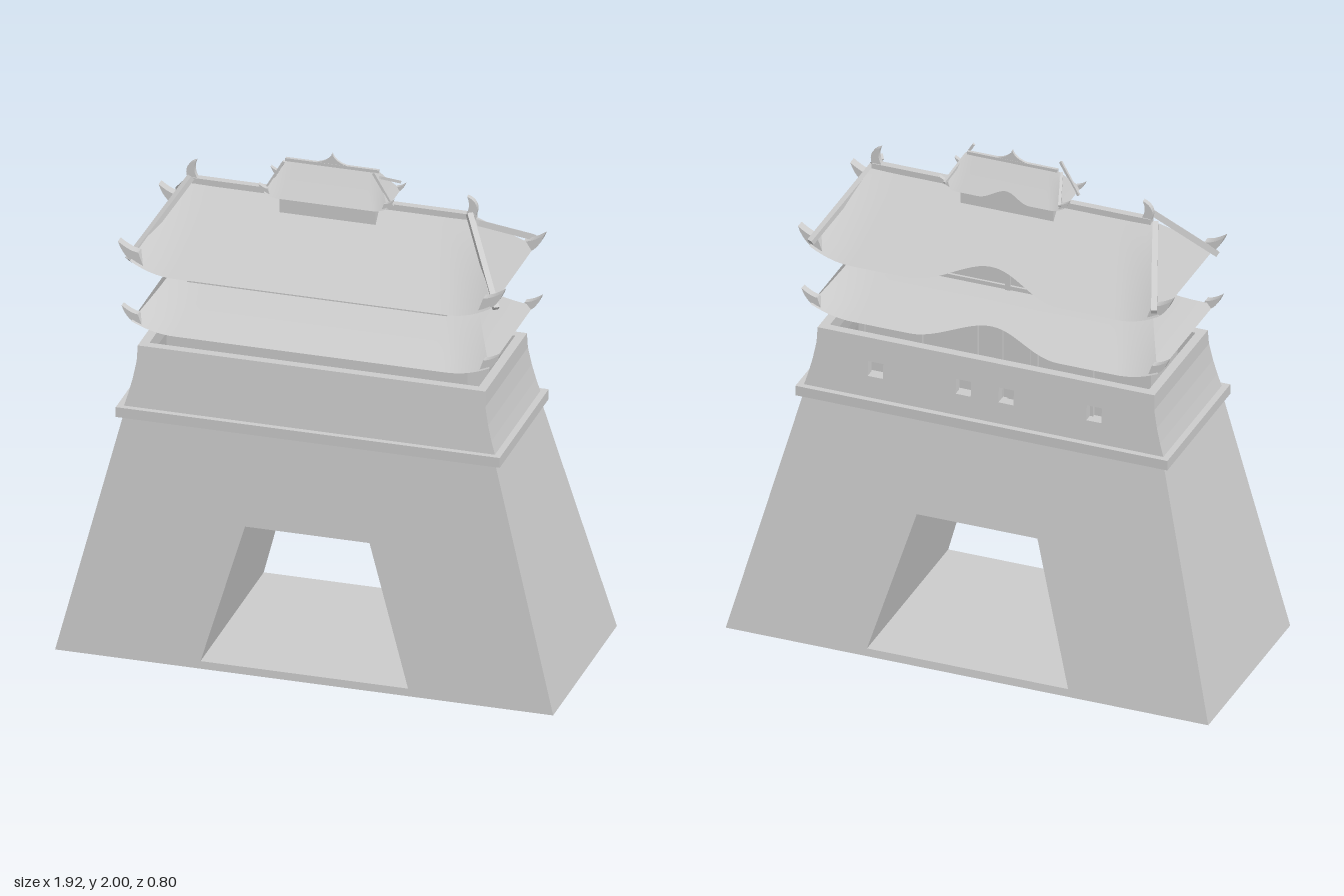
import * as THREE from 'three';

const RIDGE_Z = 0.045;
const mat = new THREE.MeshStandardMaterial({ color: 0xcccccc, flatShading: true });
const roofMat = new THREE.MeshStandardMaterial({ color: 0xcccccc, side: THREE.DoubleSide });
const lerp = THREE.MathUtils.lerp;

function add(parent, name, geometry, material = mat) {
  const mesh = new THREE.Mesh(geometry, material);
  mesh.name = name;
  parent.add(mesh);
  return mesh;
}

// Box given by its limits on each axis
function box(parent, name, x0, x1, y0, y1, z0, z1) {
  const mesh = add(parent, name, new THREE.BoxGeometry(x1 - x0, y1 - y0, z1 - z0));
  mesh.position.set((x0 + x1) / 2, (y0 + y1) / 2, (z0 + z1) / 2);
  return mesh;
}

// Square bar between two points
function bar(parent, name, a, b, size) {
  const mesh = add(parent, name, new THREE.BoxGeometry(size, size, a.distanceTo(b)));
  mesh.position.copy(a).lerp(b, 0.5);
  mesh.lookAt(b);
}

function polygon(points) {
  return new THREE.Shape(points.map(([x, y]) => new THREE.Vector2(x, y)));
}

// Extrude an outline in z between a back and a front that may lean with height
function slab(parent, name, shape, back, front) {
  const geo = new THREE.ExtrudeGeometry(shape, { depth: 1, bevelEnabled: false, curveSegments: 8 });
  const p = geo.attributes.position;
  for (let i = 0; i < p.count; i++) {
    const y = p.getY(i);
    p.setZ(i, lerp(back(y), front(y), p.getZ(i)));
  }
  geo.computeVertexNormals();
  return add(parent, name, geo);
}

// Hip roof with raised corners and an arch cut in the back eave
function roof(parent, name, o) {
  const group = new THREE.Group();
  group.name = name;
  group.position.z = RIDGE_Z;
  parent.add(group);
  const sideY = o.eave + o.lift;

  const slope = (label, columns, ridgeAt, eaveAt, cutAt) => {
    const geo = new THREE.PlaneGeometry(2, 1, columns, 6);
    const p = geo.attributes.position;
    for (let i = 0; i < p.count; i++) {
      const u = p.getX(i), v = p.getY(i) + 0.5;
      const t = lerp(cutAt(u), 1, v);
      const pt = eaveAt(u).lerp(ridgeAt(u), t);
      pt.y -= o.sag * Math.sin(Math.PI * t);
      p.setXYZ(i, pt.x, pt.y, pt.z);
    }
    geo.computeVertexNormals();
    add(group, label, geo, roofMat);
  };
  const noCut = () => 0;
  const arch = u => Math.abs(u) < 0.43 ? 0.13 * (1 + Math.cos(Math.PI * u / 0.43)) : 0;
  for (const s of [1, -1]) {
    slope(s > 0 ? 'frontSlope' : 'backSlope', 56,
      u => new THREE.Vector3(s * u * o.ridge, o.top, 0),
      u => new THREE.Vector3(s * u * o.x,
        o.eave + o.lift * Math.max(0, (Math.abs(u) - 0.76) / 0.24) ** 2, s * o.z),
      s > 0 ? noCut : arch);
    slope(s > 0 ? 'leftSlope' : 'rightSlope', 4,
      () => new THREE.Vector3(s * o.ridge, o.top, 0),
      u => new THREE.Vector3(s * o.x, sideY, -s * u * o.z), noCut);
  }

  // Upturned horns and hip bars at the four corners
  const k = o.horn;
  for (const sx of [1, -1]) for (const sz of [1, -1]) {
    const horn = new THREE.Shape();
    const X = d => sx * (o.x + d * k), Y = d => sideY + d * k;
    horn.moveTo(X(-0.05), Y(-0.02));
    horn.quadraticCurveTo(X(0.02), Y(-0.01), X(0.048), Y(0.07));
    horn.quadraticCurveTo(X(0), Y(0.035), X(-0.03), Y(0.035));
    const z = sz * (o.z - 0.025 * k), half = 0.018 * k;
    slab(group, 'cornerHorn', horn, () => z - half, () => z + half);
    if (o.bars) bar(group, 'hipBar', new THREE.Vector3(sx * o.ridge, o.top, 0),
      new THREE.Vector3(sx * o.x, sideY + 0.01 * k, sz * o.z), 0.022 * k);
  }
  return group;
}

export function createModel() {
  const model = new THREE.Group();
  model.name = 'gateTower';

  // Sloping gate base with a trapezoid passage
  const gate = polygon([[-0.96, 0], [0.96, 0], [0.715, 0.97], [-0.715, 0.97]]);
  gate.holes.push(polygon([[-0.4, 0.03], [-0.24, 0.585], [0.24, 0.585], [0.4, 0.03]]));
  slab(model, 'gateBase', gate, y => lerp(-0.4, -0.237, y / 0.97), y => lerp(0.4, 0.335, y / 0.97));
  box(model, 'ledge', -0.74, 0.74, 0.96, 1.0, -0.26, 0.355);

  // Hollow parapet with flared walls; windows pierce the back wall
  const parapet = new THREE.Group();
  parapet.name = 'parapet';
  model.add(parapet);
  const flare = [[0.715, 1.0], [0.70, 1.05], [0.685, 1.11], [0.672, 1.18], [0.67, 1.24]];
  const outline = () => polygon([...flare, ...flare.map(([x, y]) => [-x, y]).reverse()]);
  const backZ = y => lerp(-0.237, -0.215, (y - 1) / 0.24);
  const frontZ = y => lerp(0.333, 0.307, (y - 1) / 0.24);
  const pierced = outline();
  for (const x of [-0.435, -0.085, 0.085, 0.435]) {
    pierced.holes.push(polygon([[x - 0.03, 1.085], [x - 0.03, 1.145], [x + 0.03, 1.145], [x + 0.03, 1.085]]));
  }
  slab(parapet, 'backWall', pierced, backZ, y => backZ(y) + 0.035);
  slab(parapet, 'frontWall', outline(), y => frontZ(y) - 0.035, frontZ);
  for (const s of [1, -1]) {
    const strip = polygon([...flare.map(([x, y]) => [s * x, y]),
      ...flare.map(([x, y]) => [s * (x - 0.035), y]).reverse()]);
    slab(parapet, 'sideWall', strip, y => backZ(y) + 0.034, y => frontZ(y) - 0.034);
  }

  // Lower storey with posts and doors along the back
  box(model, 'lowerStorey', -0.59, 0.57, 1.0, 1.39, -0.045, 0.205);
  for (const x of [-0.58, -0.35, -0.13, 0.11, 0.33, 0.56]) {
    box(model, 'lowerPost', x - 0.012, x + 0.012, 1.0, 1.4, -0.058, -0.04);
  }
  for (const x of [-0.065, 0.045]) box(model, 'door', x - 0.045, x + 0.045, 1.0, 1.36, -0.052, -0.04);
  roof(model, 'lowerRoof', { top: 1.54, ridge: 0.55, eave: 1.305, lift: 0.04, x: 0.69, z: 0.28, sag: 0.008, horn: 0.8 });

  // Upper storey with a framed back
  box(model, 'upperStorey', -0.52, 0.48, 1.46, 1.64, -0.042, 0.175);
  for (const x of [-0.51, -0.02, 0.47]) {
    box(model, 'upperPost', x - 0.01, x + 0.01, 1.46, 1.64, -0.054, -0.038);
  }
  for (const y of [1.47, 1.55, 1.63]) box(model, 'upperRail', -0.52, 0.48, y - 0.008, y + 0.008, -0.052, -0.038);
  roof(model, 'upperRoof', { top: 1.82, ridge: 0.55, eave: 1.54, lift: 0.05, x: 0.695, z: 0.28, sag: 0, horn: 1, bars: true });
  box(model, 'mainRidge', -0.555, 0.555, 1.805, 1.83, RIDGE_Z - 0.014, RIDGE_Z + 0.014);

  // Hooked ornaments on the ridge ends
  for (const s of [1, -1]) {
    const hook = new THREE.Shape();
    hook.moveTo(s * 0.515, 1.825);
    hook.lineTo(s * 0.555, 1.825);
    hook.quadraticCurveTo(s * 0.575, 1.88, s * 0.522, 1.9);
    hook.quadraticCurveTo(s * 0.54, 1.86, s * 0.515, 1.825);
    slab(model, 'ridgeHook', hook, () => RIDGE_Z - 0.01, () => RIDGE_Z + 0.01);
  }

  // Small lantern on the ridge
  box(model, 'lanternBody', -0.185, 0.185, 1.76, 1.865, -0.01, 0.105);
  roof(model, 'lanternRoof', { top: 1.95, ridge: 0.18, eave: 1.828, lift: 0.018, x: 0.238, z: 0.088, sag: 0.002, horn: 0.45, bars: true });
  box(model, 'lanternRidge', -0.18, 0.18, 1.945, 1.957, RIDGE_Z - 0.006, RIDGE_Z + 0.006);
  const finial = new THREE.Shape();
  finial.moveTo(-0.07, 1.955);
  finial.quadraticCurveTo(-0.01, 1.965, 0, 2.0);
  finial.quadraticCurveTo(0.01, 1.965, 0.07, 1.955);
  slab(model, 'finial', finial, () => RIDGE_Z - 0.005, () => RIDGE_Z + 0.005);

  return model;
}
